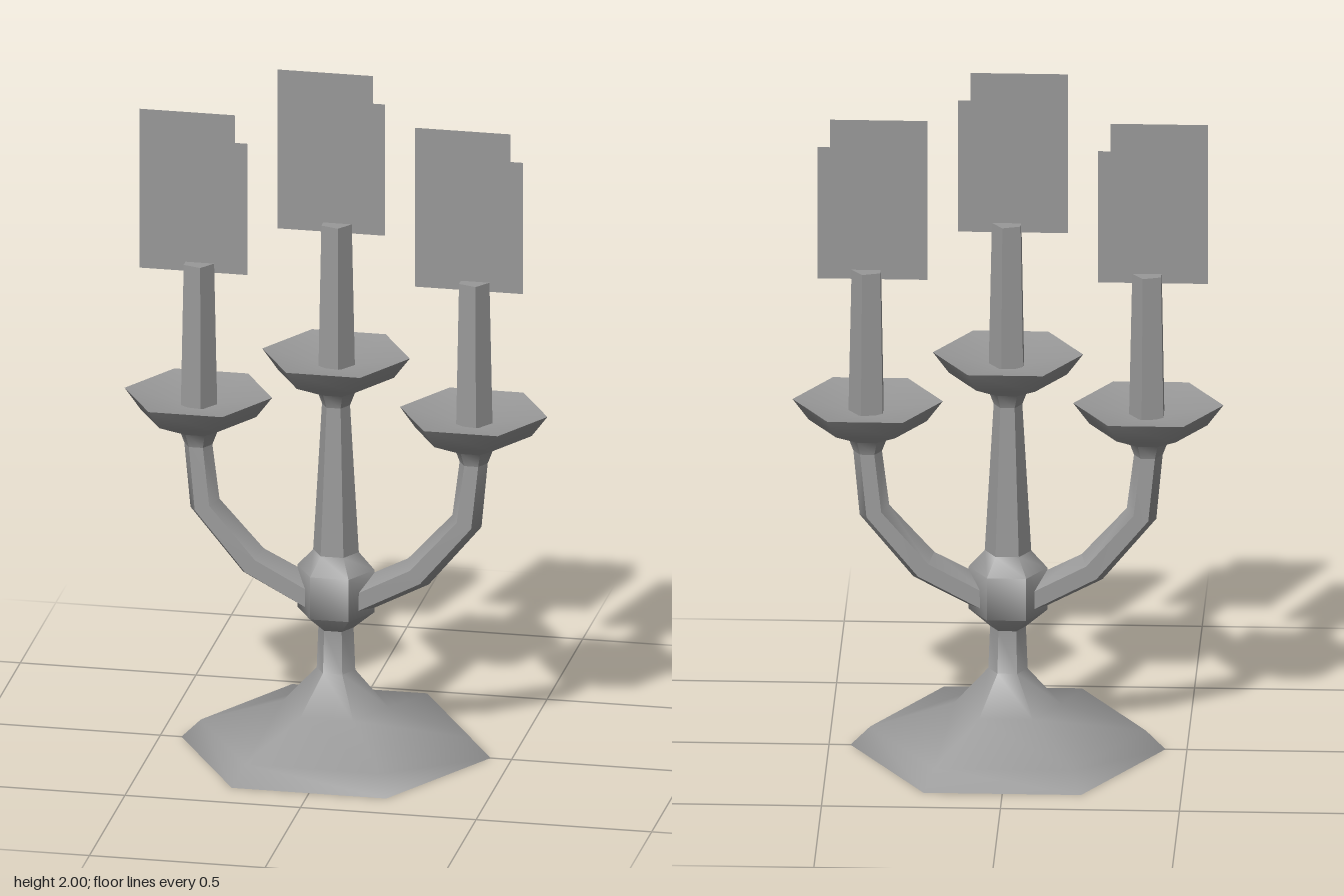
import * as THREE from 'three';
import { toCreasedNormals } from 'three/addons/utils/BufferGeometryUtils.js';

const SIDES = 6;
const CREASE = 0.87;

export function createModel() {
  const group = new THREE.Group();
  group.name = 'candelabra';
  const grey = new THREE.MeshStandardMaterial({ color: 0x999999, side: THREE.DoubleSide });
  grey.name = 'grey metal';

  const add = (name, geometry, x = 0, y = 0) => {
    const mesh = new THREE.Mesh(geometry, grey);
    mesh.name = name;
    mesh.position.set(x, y, 0);
    group.add(mesh);
    return mesh;
  };

  // Six-sided turned part with corners on the x axis
  const turned = (profile) => toCreasedNormals(
    new THREE.LatheGeometry(profile.map(([r, y]) => new THREE.Vector2(r, y)), SIDES, Math.PI / 6), CREASE);

  // Foot and lower stem
  add('base', turned([[0, 0], [0.44, 0], [0.385, 0.055], [0.15, 0.13], [0.055, 0.235], [0.05, 0.36]]));
  // Knob where the arms meet
  add('knob', turned([[0.05, 0.36], [0.11, 0.41], [0.11, 0.535], [0.065, 0.585]]));
  // Central column
  add('column', turned([[0.065, 0.585], [0.04, 1.02]]));

  // Drip dish, with y = 0 at its rim
  const dish = turned([[0.04, -0.15], [0.055, -0.11], [0.165, -0.06], [0.21, 0], [0, -0.04]]);

  // Five-sided tapering candle with a corner towards +x
  const candle = toCreasedNormals(
    new THREE.CylinderGeometry(0.045, 0.054, 0.43, 5, 1, false, Math.PI / 2), CREASE);

  // Notched flame card
  const flame = new THREE.ShapeGeometry(new THREE.Shape(
    [[-0.167, 0], [0.14, 0], [0.14, 0.39], [0.105, 0.39], [0.105, 0.472], [-0.167, 0.472]]
      .map(([x, y]) => new THREE.Vector2(x, y))));

  for (const [side, x, rim] of [['left', 0.392, 1.025], ['centre', 0, 1.17], ['right', -0.392, 1.025]]) {
    add(side + 'Dish', dish, x, rim);
    add(side + 'Candle', candle, x, rim + 0.172);
    add(side + 'Flame', flame, x, rim + 0.36);
  }

  // Curved arms: hexagonal sections swept along a bent path
  // each row: centre x, centre y, direction angle, in-plane radius, depth radius
  const sections = [
    [0.06, 0.45, 0.42, 0.047, 0.068],
    [0.235, 0.54, 0.67, 0.047, 0.06],
    [0.373, 0.7, 1.22, 0.044, 0.05],
    [0.392, 0.875, Math.PI / 2, 0.04, 0.04],
  ];
  const arm = (sign) => {
    const positions = [];
    const index = [];
    sections.forEach(([cx, cy, angle, a, b], row) => {
      for (let i = 0; i < SIDES; i++) {
        const t = (i / SIDES) * Math.PI * 2;
        const u = Math.cos(t) * a;
        positions.push(sign * (cx + Math.sin(angle) * u), cy - Math.cos(angle) * u, Math.sin(t) * b);
        if (row === 0) continue;
        const j = (i + 1) % SIDES;
        const [p, q, r, s] = [(row - 1) * SIDES + i, (row - 1) * SIDES + j, row * SIDES + i, row * SIDES + j];
        if (sign > 0) index.push(p, r, q, q, r, s);
        else index.push(p, q, r, q, s, r);
      }
    });
    const geometry = new THREE.BufferGeometry();
    geometry.setAttribute('position', new THREE.Float32BufferAttribute(positions, 3));
    geometry.setIndex(index);
    return toCreasedNormals(geometry, CREASE);
  };
  add('leftArm', arm(1));
  add('rightArm', arm(-1));

  return group;
}
